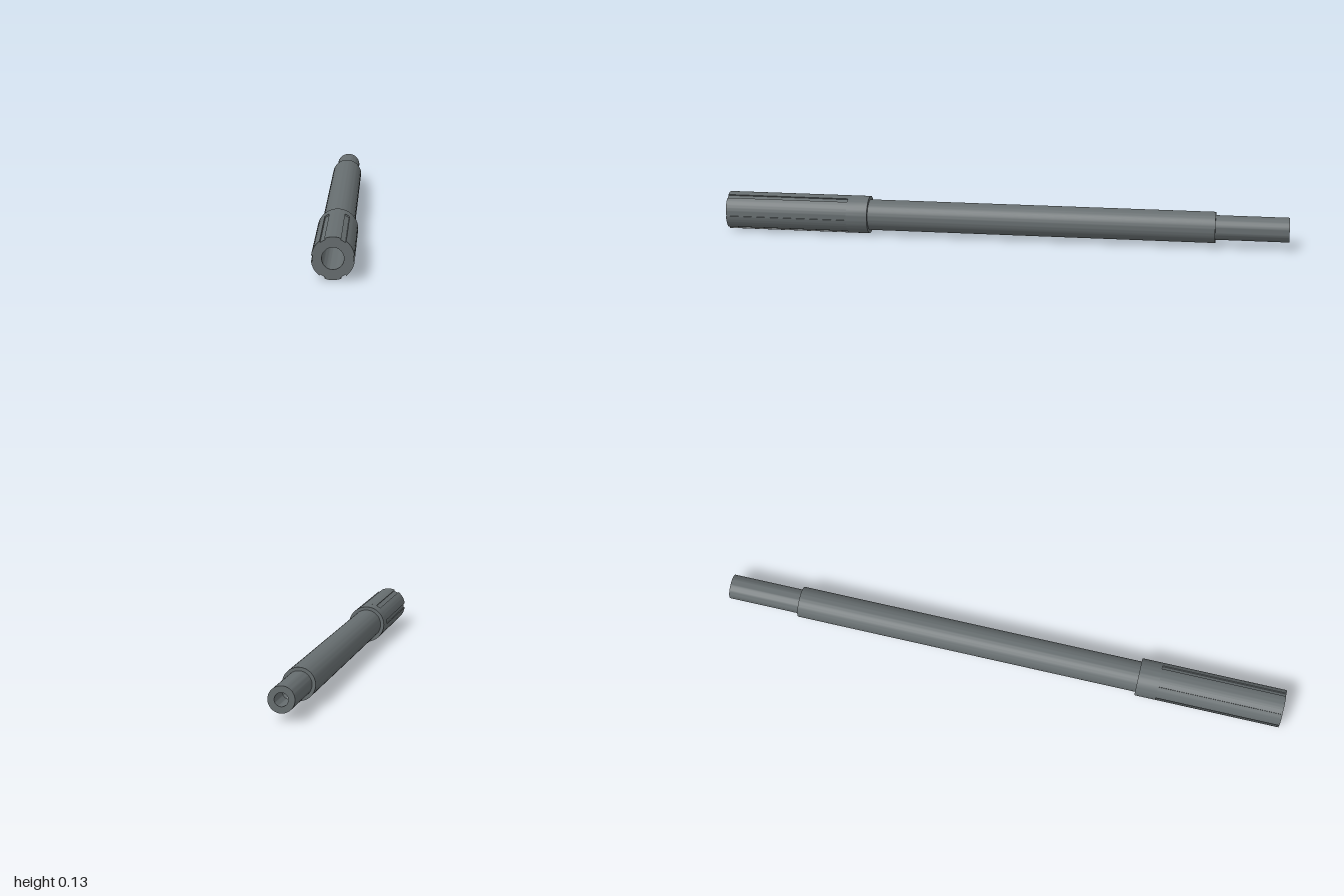
import * as THREE from 'three';
import { toCreasedNormals } from 'three/addons/utils/BufferGeometryUtils.js';

const AXIS_Y = 0.0667; // height of the shaft axis
const HEAD_R = 0.0667, BORE_R = 0.034;
const GROOVE_HALF = 0.0085, GROOVE_FLOOR = 0.0618, GROOVES = 6;
const GROOVE_END = 0.56;

// Cross-section of the grooved head, with the bore as a hole
function headSection() {
  const points = [];
  const half = Math.asin(GROOVE_HALF / HEAD_R);
  const step = (Math.PI * 2) / GROOVES;
  const floorR = Math.hypot(GROOVE_FLOOR, GROOVE_HALF);
  const floorA = Math.atan2(GROOVE_HALF, GROOVE_FLOOR);
  const polar = (r, a) => points.push(new THREE.Vector2(r * Math.cos(a), r * Math.sin(a)));
  for (let k = 0; k < GROOVES; k++) {
    const a = k * step;
    polar(floorR, a - floorA);
    polar(floorR, a + floorA);
    for (let i = 0; i <= 10; i++) polar(HEAD_R, a + half + ((step - 2 * half) * i) / 10);
  }
  const shape = new THREE.Shape(points);
  shape.holes.push(new THREE.Path().absarc(0, 0, BORE_R, 0, Math.PI * 2, true));
  return shape;
}

export function createModel() {
  const group = new THREE.Group();
  const steel = new THREE.MeshStandardMaterial({ color: 0x666d6f });
  steel.name = 'grey steel';

  const add = (name, geometry) => {
    const mesh = new THREE.Mesh(toCreasedNormals(geometry, 0.4), steel);
    mesh.name = name;
    mesh.position.y = AXIS_Y;
    group.add(mesh);
  };

  // Stepped shaft: rear bore, rear journal, main shaft, collar, bottom of the front bore
  const profile = [
    [0, -0.87], [0.022, -0.883], [0.022, -1], [0.043, -1], [0.043, -0.745],
    [0.0545, -0.745], [0.0545, 0.485], [HEAD_R, 0.485], [HEAD_R, GROOVE_END],
    [BORE_R, GROOVE_END], [0, GROOVE_END - 0.02],
  ].map(([r, z]) => new THREE.Vector2(r, z));
  add('steppedShaft', new THREE.LatheGeometry(profile, 64).rotateX(Math.PI / 2));

  // Grooved head with open front bore
  const head = new THREE.ExtrudeGeometry(headSection(), {
    depth: 1 - GROOVE_END, bevelEnabled: false, curveSegments: 48,
  });
  add('groovedHead', head.translate(0, 0, GROOVE_END));

  return group;
}
